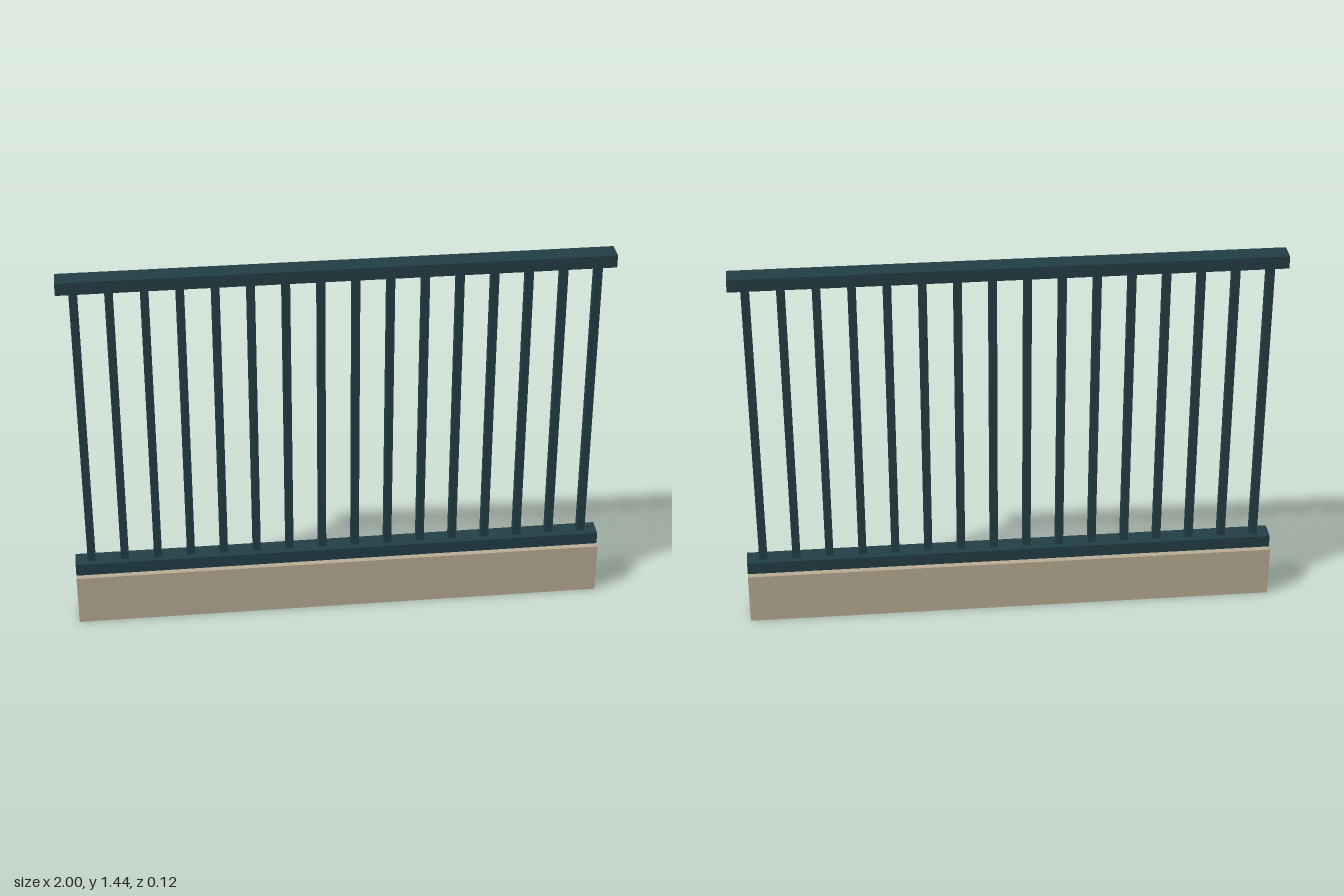
import * as THREE from 'three';

export function createModel() {
  const group = new THREE.Group();
  const stone = new THREE.MeshStandardMaterial({ color: 0xb8ab93 });
  stone.name = 'stone';
  const paintedMetal = new THREE.MeshStandardMaterial({ color: 0x223e46 });
  paintedMetal.name = 'paintedMetal';

  // Box standing on height y
  const box = (name, w, h, d, x, y, material) => {
    const mesh = new THREE.Mesh(new THREE.BoxGeometry(w, h, d), material);
    mesh.name = name;
    mesh.position.set(x, y + h / 2, 0);
    group.add(mesh);
  };

  const railHeight = 0.048, railDepth = 0.075;
  const baseHeight = 0.2, topRailY = 1.394;

  // Low wall and the two rails
  box('baseWall', 2, baseHeight, 0.12, 0, 0, stone);
  box('bottomRail', 2, railHeight, railDepth, 0, baseHeight, paintedMetal);
  box('topRail', 2, railHeight, railDepth, 0, topRailY, paintedMetal);

  // Evenly spaced square balusters between the rails
  const count = 16, reach = 0.939, barWidth = 0.03;
  const barBottom = baseHeight + railHeight;
  for (let i = 0; i < count; i++) {
    const x = -reach + (2 * reach * i) / (count - 1);
    box(`baluster${i + 1}`, barWidth, topRailY - barBottom, barWidth, x, barBottom, paintedMetal);
  }
  return group;
}
